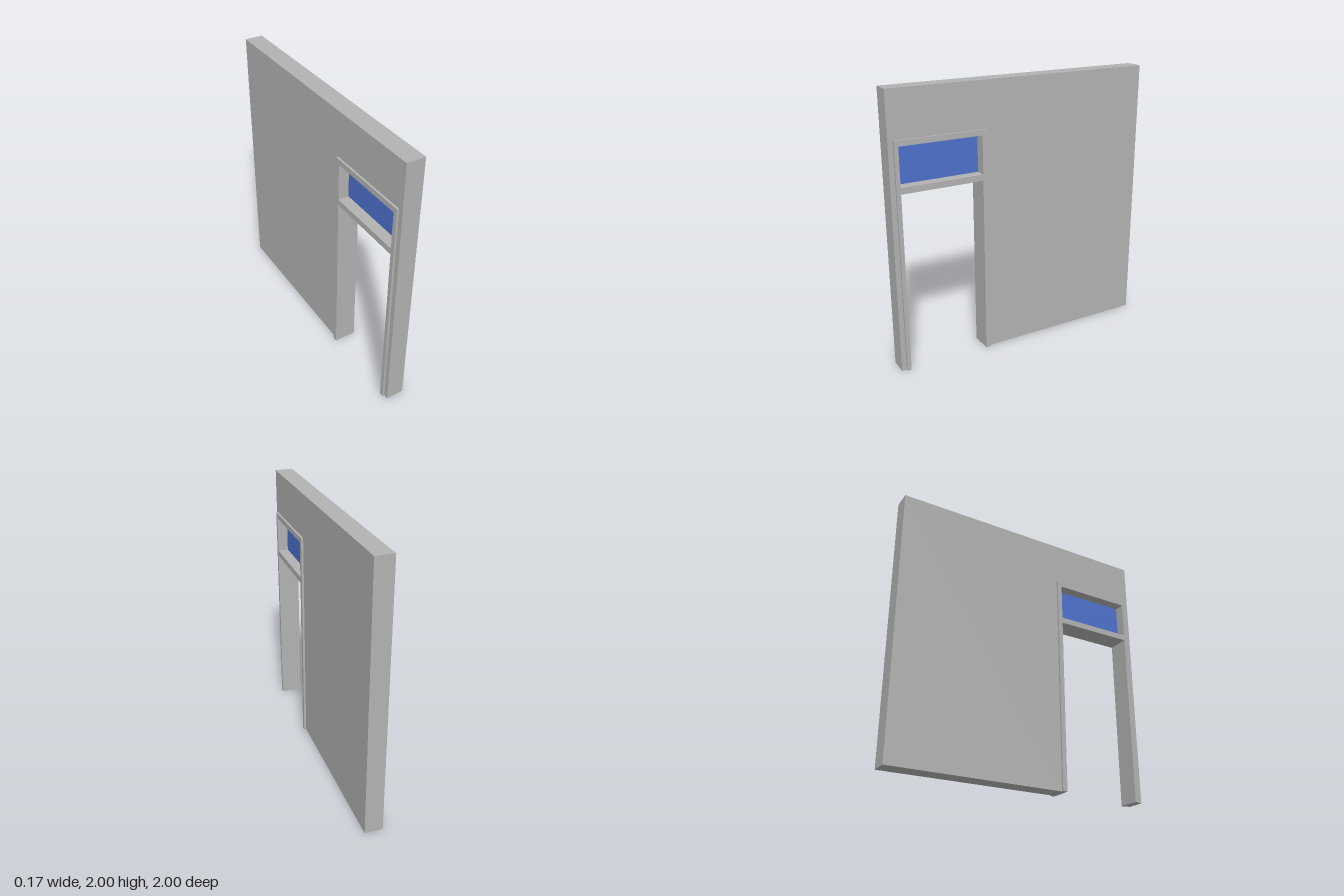
import * as THREE from 'three';

const WALL_T = 0.133, FRAME_T = 0.165;
// Doorway extents along z, and heights
const OUT0 = 0.3, OUT1 = 0.965, IN0 = 0.335, IN1 = 0.935;
const FRAME_TOP = 1.67, DOOR_TOP = 1.31, PANE_LOW = 1.355, PANE_HIGH = 1.63;

// Upright slab with a notch open to the floor: a doorway outline in the z-y plane
function arch(z0, z1, top, n0, n1, notchTop) {
  return new THREE.Shape([
    [z0, 0], [n0, 0], [n0, notchTop], [n1, notchTop],
    [n1, 0], [z1, 0], [z1, top], [z0, top],
  ].map(([z, y]) => new THREE.Vector2(z, y)));
}

// Extrude a z-y outline symmetrically along x
function slab(name, shape, thickness, material) {
  const geometry = new THREE.ExtrudeGeometry(shape, { depth: thickness, bevelEnabled: false });
  geometry.translate(0, 0, -thickness / 2);
  geometry.rotateY(-Math.PI / 2);
  const mesh = new THREE.Mesh(geometry, material);
  mesh.name = name;
  return mesh;
}

export function createModel() {
  const grey = new THREE.MeshStandardMaterial({ color: 0xb2b2b2 });
  grey.name = 'wall grey';
  const blue = new THREE.MeshStandardMaterial({ color: 0x4d71cc });
  blue.name = 'glass blue';

  const group = new THREE.Group();
  group.name = 'wallWithDoorway';

  // Wall panel, cut out around the door frame
  group.add(slab('wall', arch(-1, 1, 2, OUT0, OUT1, FRAME_TOP), WALL_T, grey));

  // Door frame standing slightly proud of both wall faces, with a transom opening
  const frame = arch(OUT0, OUT1, FRAME_TOP, IN0, IN1, DOOR_TOP);
  frame.holes.push(new THREE.Path([
    [IN0, PANE_LOW], [IN0, PANE_HIGH], [IN1, PANE_HIGH], [IN1, PANE_LOW],
  ].map(([z, y]) => new THREE.Vector2(z, y))));
  group.add(slab('doorFrame', frame, FRAME_T, grey));

  // Thin transom pane on the centre line
  const pane = new THREE.Mesh(
    new THREE.BoxGeometry(0.006, PANE_HIGH - PANE_LOW, IN1 - IN0), blue);
  pane.name = 'transomPane';
  pane.position.set(0, (PANE_LOW + PANE_HIGH) / 2, (IN0 + IN1) / 2);
  group.add(pane);

  return group;
}
